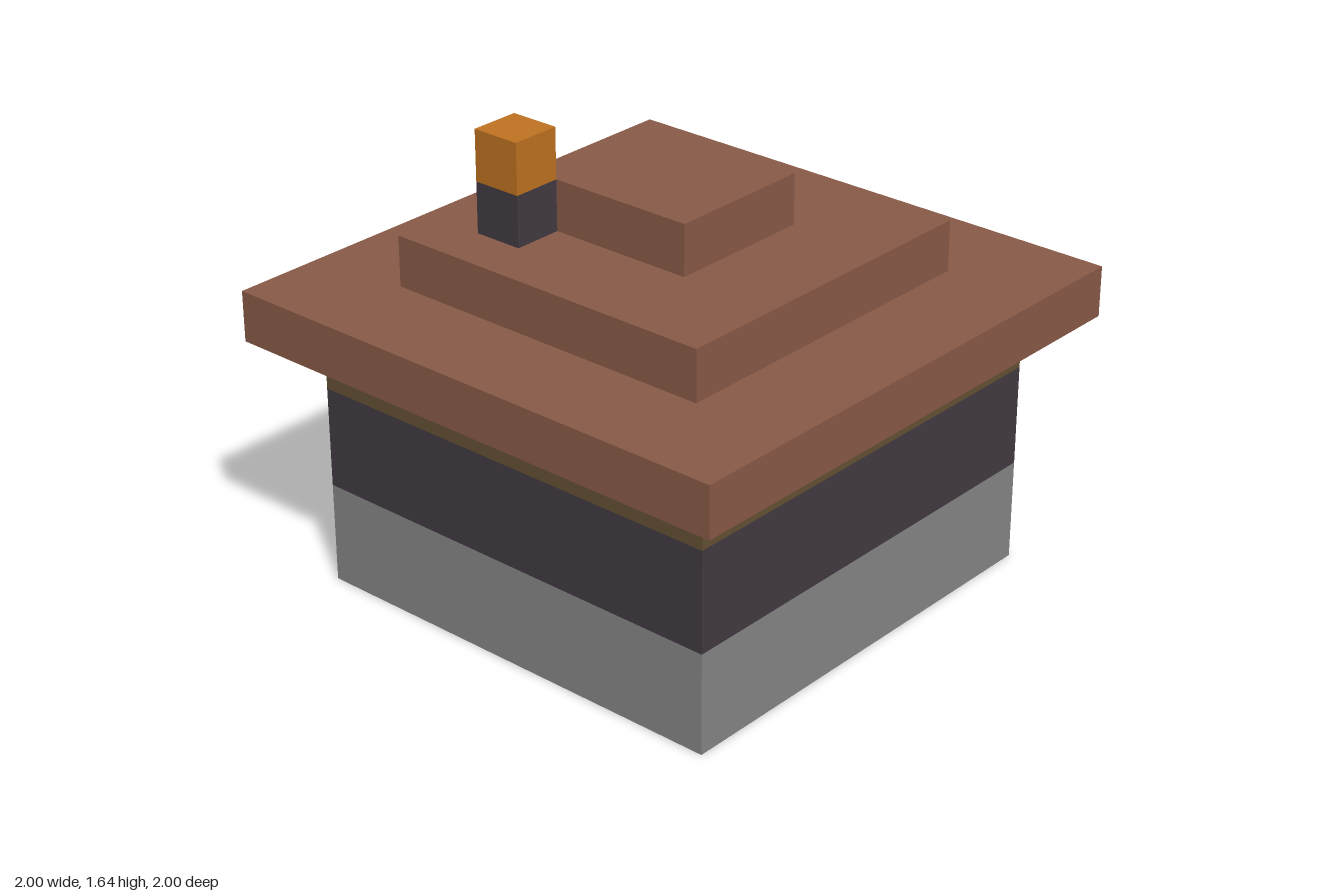
import * as THREE from 'three';

const U = 2 / 11; // one building block

export function createModel() {
  const model = new THREE.Group();
  const material = (name, color) => {
    const m = new THREE.MeshStandardMaterial({ color });
    m.name = name;
    return m;
  };
  const stone = material('grey stone', 0x888888);
  const plaster = material('dark wall', 0x433b43);
  const timber = material('olive timber', 0x665234);
  const tile = material('brown roof', 0x8b5b48);
  const flame = material('orange flame', 0xc27421);

  const add = (name, geometry, mat) => {
    const mesh = new THREE.Mesh(geometry, mat);
    mesh.name = name;
    model.add(mesh);
  };

  // Box from block limits
  const block = (name, mat, x0, x1, y0, y1, z0, z1) => {
    const g = new THREE.BoxGeometry((x1 - x0) * U, (y1 - y0) * U, (z1 - z0) * U);
    g.translate((x0 + x1) / 2 * U, (y0 + y1) / 2 * U, (z0 + z1) / 2 * U);
    add(name, g, mat);
  };

  // Horizontal course extruded upward from a plan outline, in blocks
  const toPoints = (pts) => pts.map(([x, z]) => new THREE.Vector2(x * U, -z * U));
  const square = (r) => [[-r, r], [r, r], [r, -r], [-r, -r]];
  const course = (name, mat, outline, hole, y0, y1) => {
    const shape = new THREE.Shape(toPoints(outline));
    if (hole) shape.holes.push(new THREE.Path(toPoints(hole)));
    const g = new THREE.ExtrudeGeometry(shape, { depth: (y1 - y0) * U, bevelEnabled: false });
    g.rotateX(-Math.PI / 2);
    g.translate(0, y0 * U, 0);
    add(name, g, mat);
  };

  // Wall plan with a three-block doorway on the +x side
  const wallPlan = [
    [4.5, 1.5], [4.5, 4.5], [-4.5, 4.5], [-4.5, -4.5], [4.5, -4.5], [4.5, -1.5],
    [3.5, -1.5], [3.5, -3.5], [-3.5, -3.5], [-3.5, 3.5], [3.5, 3.5], [3.5, 1.5],
  ];

  // Floor and walls
  block('floor', stone, -4.5, 4.5, 0, 1, -4.5, 4.5);
  course('lowerWall', stone, wallPlan, null, 1, 2);
  course('upperWall', plaster, wallPlan, null, 2, 4);
  course('timberBand', timber, square(4.5), square(3.5), 4, 5);

  // Stepped hollow roof
  course('roofEaves', tile, square(5.5), square(3.5), 5, 6);
  course('roofMiddle', tile, square(3.5), square(1.5), 6, 7);
  block('roofCap', tile, -1.5, 1.5, 7, 8, -1.5, 1.5);

  // Indoor fireplace and its flue
  block('hearth', plaster, -3.5, -0.5, 1, 2, -3.5, -0.5);
  block('fireplaceHood', plaster, -3.5, -1.5, 2, 4, -3.5, -0.5);
  block('flue', plaster, -2.5, -1.5, 4, 6, -2.5, -1.5);

  // Chimney with glowing top
  block('chimney', plaster, -2.5, -1.5, 7, 8, -2.5, -1.5);
  block('chimneyFire', flame, -2.5, -1.5, 8, 9, -2.5, -1.5);

  return model;
}
